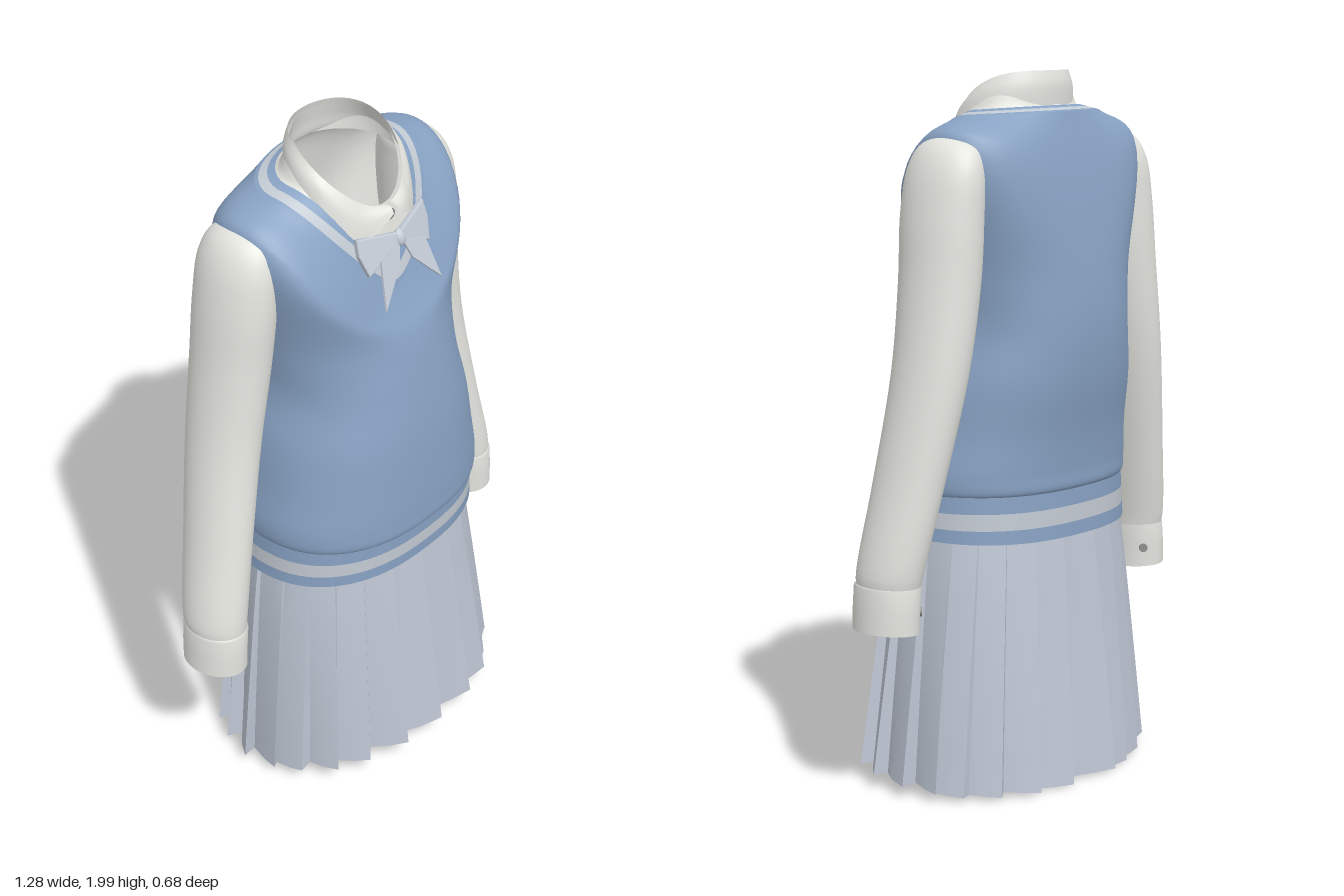
import * as THREE from 'three';
import { toCreasedNormals } from 'three/addons/utils/BufferGeometryUtils.js';

const V = (x, y, z) => new THREE.Vector3(x, y, z);
const mat = (name, color) => {
  const m = new THREE.MeshStandardMaterial({ color, side: THREE.DoubleSide });
  m.name = name;
  return m;
};
const spow = (v, p) => Math.sign(v) * Math.pow(Math.abs(v), p);
const SEG = 72;

// closed ring of points; f receives sine and cosine, angle 0 being the front
const ring = (f, n = SEG) => Array.from({ length: n }, (_, i) => {
  const a = (i / n) * Math.PI * 2;
  return f(Math.sin(a), Math.cos(a));
});

// skin over rings listed from bottom to top
function loft(rings, closed = true) {
  const n = rings[0].length, index = [];
  for (let r = 0; r < rings.length - 1; r++) {
    for (let i = 0; i < (closed ? n : n - 1); i++) {
      const j = (i + 1) % n, a = r * n + i, b = r * n + j;
      index.push(a, b, b + n, a, b + n, a + n);
    }
  }
  const g = new THREE.BufferGeometry().setFromPoints(rings.flat());
  g.setIndex(index);
  g.computeVertexNormals();
  return g;
}

// adds rows by running a smooth curve up through each column of the rings
function smoothRings(rings, rows) {
  const curves = rings[0].map((_, i) => new THREE.CatmullRomCurve3(rings.map(r => r[i]), false, 'centripetal'));
  return Array.from({ length: rows + 1 }, (_, k) => curves.map(c => c.getPoint(k / rows)));
}
const mix = (A, B, t) => A.map((p, i) => p.clone().lerp(B[i], t));
const shrink = (A, k, drop) => A.map(p => V(p.x * k, p.y - drop, -0.02 + (p.z + 0.02) * k));

// rounded body section from half width, front z and back z
const section = (y, w, zf, zb) => ring((s, c) =>
  V(w * spow(s, 0.82), y, (zf + zb) / 2 + (zf - zb) / 2 * spow(c, 0.92)));

// V-shaped neckline, highest on the shoulders behind the middle
const neckline = (w, yV, yTop, zc, zf, zb, bend) => ring((s, c) => V(
  w * s,
  c > 0 ? yV + (yTop - yV) * Math.pow(Math.abs(s), bend) : yTop + 0.01 * -c,
  zc + c * (c > 0 ? zf - zc : zc - zb)));

export function createModel() {
  const model = new THREE.Group();
  const vestBlue = mat('vest blue', 0x88a2c3);
  const stripeGrey = mat('stripe grey', 0xc3cad2);
  const shirtWhite = mat('shirt white', 0xe4e4df);
  const skirtGrey = mat('skirt grey blue', 0xbec6d3);
  const bowGrey = mat('bow grey', 0xc4ccd6);
  const buttonGrey = mat('button grey', 0x8f8f8b);

  const add = (name, geometry, material, parent = model) => {
    const m = new THREE.Mesh(geometry, material);
    m.name = name;
    parent.add(m);
    return m;
  };

  // knitted vest, from the waist over the shoulders to the neckline
  const outerNeck = neckline(0.265, 1.58, 1.88, -0.06, 0.17, -0.217, 1.5);
  const innerNeck = neckline(0.197, 1.66, 1.895, -0.05, 0.148, -0.18, 1.4);
  const shoulder = ring((s, c) => V(
    0.378 * spow(s, 0.55),
    (c > 0 ? 1.52 : 1.74) + (c > 0 ? 0.31 : 0.09) * Math.pow(Math.abs(s), 1.5),
    -0.08 + c * (c > 0 ? 0.28 : 0.18)));
  const body = [
    [0.838, 0.372, 0.286, -0.26], [0.852, 0.382, 0.303, -0.27], [0.9, 0.385, 0.306, -0.273],
    [1.0, 0.367, 0.303, -0.285], [1.15, 0.344, 0.292, -0.313], [1.3, 0.31, 0.268, -0.325],
    [1.45, 0.322, 0.235, -0.314],
  ].map(a => section(...a));
  add('vest', loft(smoothRings([...body, shoulder, outerNeck], 64)), vestBlue);

  // striped trim round the neck
  [['neckTrimOuter', 0, 0.2, vestBlue], ['neckTrimStripe', 0.2, 0.62, stripeGrey], ['neckTrimInner', 0.62, 1, vestBlue]]
    .forEach(([name, a, b, m]) => add(name, loft([mix(outerNeck, innerNeck, a), mix(outerNeck, innerNeck, b)]), m));

  // striped waistband
  const bandLow = section(0.72, 0.386, 0.29, -0.268).map(p => (p.y += p.z * 0.04, p));
  const bandTop = section(0.845, 0.378, 0.292, -0.264);
  [['waistbandLower', 0, 0.29, vestBlue], ['waistbandStripe', 0.29, 0.64, stripeGrey], ['waistbandUpper', 0.64, 1, vestBlue]]
    .forEach(([name, a, b, m]) => add(name, loft([mix(bandLow, bandTop, a), mix(bandLow, bandTop, b)]), m));

  // shirt under the vest, rising to the neck
  const collarTopY = c => 1.82 + 0.18 * (1 - Math.pow((1 + c) / 2, 2.1));
  const neckTop = ring((s, c) => V(0.15 * s, collarTopY(c) - 0.004, -0.02 + 0.135 * c));
  const shirtNeck = shrink(innerNeck, 0.97, 0.003);
  add('shirt', loft(smoothRings([
    ...body.map(r => shrink(r, 0.965, 0)), shrink(shoulder, 0.965, 0.012), shrink(outerNeck, 0.965, 0.008),
    shirtNeck, mix(shirtNeck, neckTop, 0.5), neckTop], 66)), shirtWhite);

  // folded collar
  const drop = [[0, 1.81], [35, 1.735], [70, 1.855], [110, 1.885], [180, 1.908]];
  const collarLowY = d => {
    const k = Math.max(1, drop.findIndex(p => d <= p[0]));
    const [d0, y0] = drop[k - 1], [d1, y1] = drop[k];
    return THREE.MathUtils.lerp(y0, y1, (d - d0) / (d1 - d0));
  };
  const collarLow = [], collarTop = [], collarMid = [];
  for (let d = 3; d <= 357; d += 2) {
    const a = THREE.MathUtils.degToRad(d), s = Math.sin(a), c = Math.cos(a);
    const low = V(0.184 * s, collarLowY(Math.min(d, 360 - d)), c > 0 ? -0.01 + 0.168 * c : -0.01 + 0.165 * c);
    const top = V(0.156 * s, collarTopY(c), -0.02 + 0.148 * c);
    collarLow.push(low);
    collarTop.push(top);
    collarMid.push(low.clone().lerp(top, 0.55).add(V(0.006 * s, 0.006, 0.006 * c)));
  }
  add('collar', loft(smoothRings([collarLow, collarMid, collarTop], 6), false), shirtWhite);

  // button facing the given direction in plan
  const button = (name, r, x, y, z, facing) => {
    const b = add(name, new THREE.CylinderGeometry(r, r, 0.008, 16).rotateX(Math.PI / 2), buttonGrey);
    b.position.set(x, y, z);
    b.rotation.y = facing;
  };
  button('collarButton', 0.016, 0, 1.79, 0.136, 0);

  // sleeves and cuffs: height, inner x, outer x, centre z, half depth
  const sleeve = [
    [0.61, 0.476, 0.628, -0.03, 0.094], [0.66, 0.468, 0.63, -0.035, 0.1], [0.9, 0.415, 0.582, -0.06, 0.108],
    [1.2, 0.345, 0.527, -0.085, 0.116], [1.45, 0.298, 0.492, -0.085, 0.123], [1.62, 0.285, 0.472, -0.08, 0.127],
    [1.74, 0.28, 0.446, -0.08, 0.12], [1.8, 0.28, 0.415, -0.08, 0.095], [1.826, 0.3, 0.38, -0.08, 0.05],
    [1.832, 0.33, 0.345, -0.08, 0.008],
  ];
  const cuff = [
    [0.5, 0.48, 0.64, -0.03, 0.1], [0.56, 0.479, 0.638, -0.03, 0.101],
    [0.625, 0.472, 0.634, -0.03, 0.1], [0.632, 0.477, 0.628, -0.03, 0.093],
  ];
  for (const side of [1, -1]) {
    const tag = side > 0 ? 'left' : 'right';
    const rings = table => table.map(([y, x0, x1, cz, rz]) => ring((s, c) => {
      const x = side * (x0 + x1) / 2 + (x1 - x0) / 2 * s;
      return V(x, y + (y < 0.6 ? 0.06 * (Math.abs(x) - 0.56) : 0), cz + rz * c);
    }, 40));
    add(tag + 'Sleeve', loft(smoothRings(rings(sleeve), 48)), shirtWhite);
    add(tag + 'Cuff', loft(rings(cuff)), shirtWhite);
    button(tag + 'CuffButton', 0.013, side * 0.508, 0.555, -0.109, Math.atan2(-side * 0.65, -0.76));
  }

  // knife-pleated skirt, longer at the back
  const PLEATS = 23, skirtRows = [];
  for (let r = 0; r <= 8; r++) {
    const t = 1 - r / 8, row = [];
    for (let p = 0; p < PLEATS; p++) {
      const wobble = Math.sin(p * 2.4) * 0.5 + Math.sin(p * 5.1 + 1) * 0.5;
      for (const [u, off] of [[0, -0.6], [0.5, 0.05], [0.96, 0.6]]) {
        const a = ((p + u + 0.15 * wobble * t) / PLEATS) * Math.PI * 2;
        const s = Math.sin(a), c = Math.cos(a);
        const d = off * (0.006 + 0.026 * t) * (1 + 0.7 * wobble);
        const flare = Math.pow(t, 0.9);
        row.push(V(
          (0.37 + 0.085 * flare + d) * spow(s, 0.88) + 0.02 * t,
          0.76 - t * (0.72 - 0.03 * c) + 0.006 * wobble * t,
          0.004 + (0.255 + 0.06 * flare + d) * spow(c, 0.88)));
      }
    }
    skirtRows.push(row);
  }
  add('pleatedSkirt', toCreasedNormals(loft(skirtRows), 0.45), skirtGrey);

  // ribbon bow with broad slanted tails, tilted along the chest
  const bow = new THREE.Group();
  bow.name = 'bow';
  bow.position.set(0.006, 1.725, 0.158);
  bow.rotation.x = -0.32;
  model.add(bow);
  const plate = (pts, depth, bevel) => new THREE.ExtrudeGeometry(
    new THREE.Shape(pts.map(p => new THREE.Vector2(...p))),
    { depth, bevelEnabled: bevel > 0, bevelSize: bevel, bevelThickness: bevel, bevelSegments: 2 });
  for (const side of [1, -1]) {
    const tag = side > 0 ? 'left' : 'right';
    const flip = pts => pts.map(([x, y]) => [side * x, y]);
    const loop = add(tag + 'BowLoop', plate(flip([[0.01, 0.014], [0.07, 0.028], [0.134, 0.044], [0.138, 0], [0.122, -0.06], [0.06, -0.032], [0.01, -0.014]]), 0.01, 0.004), bowGrey, bow);
    loop.rotation.y = side * 0.18;
    const tail = add(tag + 'BowTail', plate(flip([[0.004, -0.005], [0.09, -0.035], [0.116, -0.168], [0.028, -0.072]]), 0.006, 0), bowGrey, bow);
    tail.position.z = 0.004;
  }
  const knot = add('bowKnot', new THREE.SphereGeometry(0.018, 16, 12), bowGrey, bow);
  knot.scale.set(0.95, 1.4, 0.75);
  knot.position.z = 0.008;

  return model;
}
